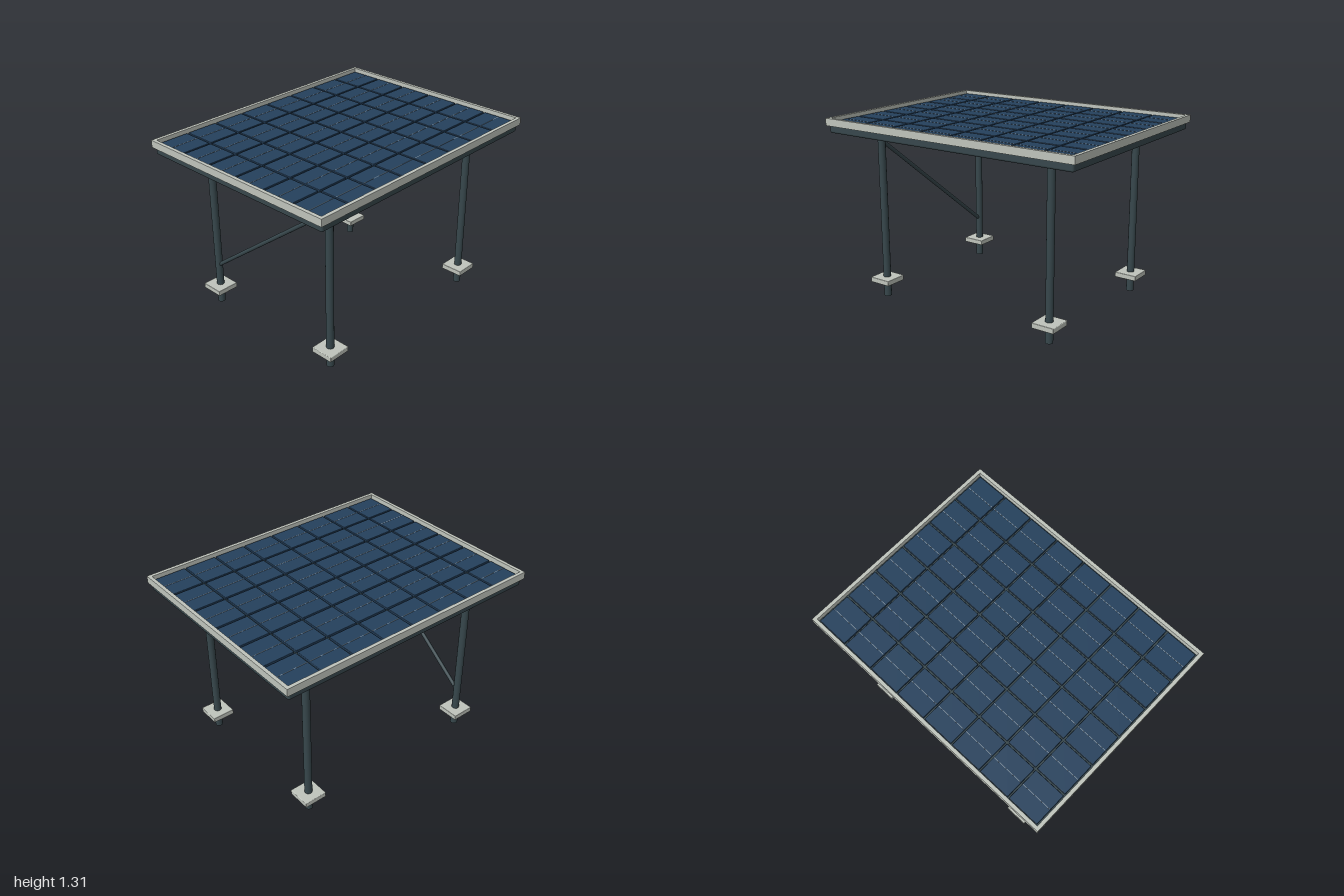
import * as THREE from 'three';
import { RoundedBoxGeometry } from 'three/addons/geometries/RoundedBoxGeometry.js';

const material = (color) => new THREE.MeshStandardMaterial({ color });

export function createModel() {
  const model = new THREE.Group();
  model.name = 'solarPanelTable';

  const steel = material(0x37474c);
  const aluminium = material(0xbfc4bc);
  const cellBlue = material(0x24405c);
  const silver = material(0x7f8e9a);
  const orange = material(0xc97a4a);

  const add = (name, geometry, mat, x, y, z, parent = model) => {
    const mesh = new THREE.Mesh(geometry, mat);
    mesh.name = name;
    mesh.position.set(x, y, z);
    parent.add(mesh);
    return mesh;
  };

  // Backing tray under the cells
  add('backingTray', new RoundedBoxGeometry(1.54, 0.066, 1.965, 3, 0.015), steel, 0, 1.241, 0);

  // Raised rim: two long side bars and two end bars between them
  const W = 1.57, D = 2, rim = 0.025, rimHeight = 0.052, rimY = 1.286;
  for (const s of [-1, 1]) {
    add('sideRim', new THREE.BoxGeometry(rim, rimHeight, D), aluminium, s * (W - rim) / 2, rimY, 0);
    add('endRim', new THREE.BoxGeometry(W - 2 * rim, rimHeight, rim), aluminium, 0, rimY, s * (D - rim) / 2);
  }

  // Grid of cells, each with a thin conductor line along its middle
  const cells = new THREE.Group();
  cells.name = 'cells';
  model.add(cells);
  const cols = 6, rows = 8, pitchX = 0.2525, pitchZ = 0.2425;
  const cellGeometry = new RoundedBoxGeometry(0.24, 0.018, 0.231, 2, 0.004);
  const lineGeometry = new THREE.BoxGeometry(0.004, 0.002, 0.225);
  for (let i = 0; i < cols; i++) {
    for (let j = 0; j < rows; j++) {
      const x = (i - (cols - 1) / 2) * pitchX;
      const z = (j - (rows - 1) / 2) * pitchZ;
      add('cell', cellGeometry, cellBlue, x, 1.279, z, cells);
      add('conductorLine', lineGeometry, silver, x, 1.2885, z, cells);
    }
  }

  // Junction box below the tray
  add('junctionBox', new RoundedBoxGeometry(0.33, 0.105, 0.27, 4, 0.025), orange, 0, 1.147, 0);

  // Legs with square foot plates
  const legX = 0.555, legZ = 0.7;
  const legGeometry = new THREE.CylinderGeometry(0.027, 0.027, 1.23, 16);
  const plateGeometry = new RoundedBoxGeometry(0.168, 0.038, 0.168, 2, 0.005);
  for (const sx of [-1, 1]) {
    for (const sz of [-1, 1]) {
      add('leg', legGeometry, steel, sx * legX, 0.615, sz * legZ);
      add('footPlate', plateGeometry, aluminium, sx * legX, 0.128, sz * legZ);
    }
  }

  // Diagonal brace across the front pair of legs
  const low = new THREE.Vector3(-legX, 0.305, legZ);
  const high = new THREE.Vector3(legX, 1.155, legZ);
  const span = high.clone().sub(low);
  const mid = low.clone().add(high).multiplyScalar(0.5);
  const brace = add('diagonalBrace', new THREE.CylinderGeometry(0.014, 0.014, span.length(), 12), steel, mid.x, mid.y, mid.z);
  brace.quaternion.setFromUnitVectors(new THREE.Vector3(0, 1, 0), span.normalize());

  return model;
}
